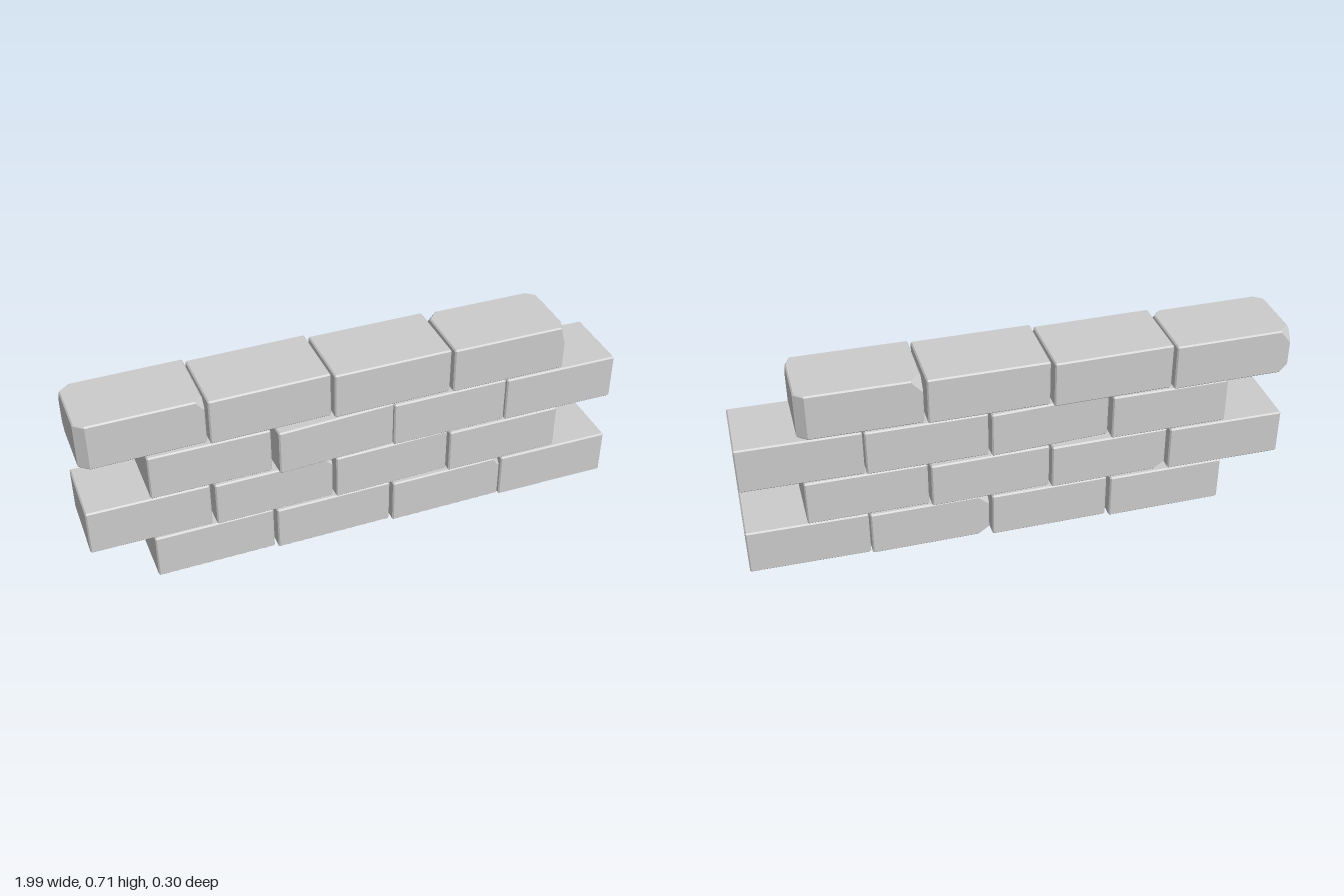
import * as THREE from 'three';
import { ConvexGeometry } from 'three/addons/geometries/ConvexGeometry.js';

const W = 0.435, H = 0.1745, D = 0.265, PITCH = 0.1775, BEVEL = 0.005;

// Bevelled block. Each chip is [sx, sy, sz, cx, cy, cz]: the corner signs and
// the cut along each axis. sy = 0 cuts the whole upright edge.
function brickGeometry(chips = []) {
  const points = [];
  for (const sx of [-1, 1]) for (const sy of [-1, 1]) for (const sz of [-1, 1]) {
    const add = (x, y, z) => points.push(
      new THREE.Vector3(sx * (W / 2 - x), sy * (H / 2 - y), sz * (D / 2 - z)));
    const chip = chips.find(c => c[0] === sx && c[2] === sz && (c[1] === sy || c[1] === 0));
    const b = BEVEL;
    if (!chip) {
      add(0, b, b); add(b, 0, b); add(b, b, 0);
    } else if (chip[1] === 0) {
      const [, , , cx, , cz] = chip;
      add(cx, b, 0); add(0, b, cz);
      add(cx, 0, b); add(b, 0, cz);
    } else {
      const [, , , cx, cy, cz] = chip;
      add(cx, b, 0); add(cx, 0, b);
      add(b, cy, 0); add(0, cy, b);
      add(0, b, cz); add(b, 0, cz);
    }
  }
  return new ConvexGeometry(points);
}

// Courses from the bottom up; a brick is [x, z, yaw, chips]
const courses = [
  [
    [-0.553, -0.006, 0.03],
    [-0.107, -0.007, 0.03],
    [0.337, -0.007, 0.03, [[1, 1, 1, 0.03, 0.035, 0.04], [-1, 1, -1, 0.04, 0.035, 0.04], [-1, -1, -1, 0.04, 0.03, 0.04]]],
    [0.775, -0.008, 0.015],
  ],
  [
    [-0.776, -0.004, 0.02],
    [-0.328, -0.006, 0.035, [[1, 1, 1, 0.03, 0.03, 0.03], [-1, -1, -1, 0.04, 0.03, 0.04]]],
    [0.115, -0.009, 0.045],
    [0.556, -0.007, 0.025],
  ],
  [
    [-0.55, -0.006, 0.025],
    [-0.102, 0.002, 0.075],
    [0.336, -0.007, 0.025],
    [0.775, -0.009, 0.012],
  ],
  [
    [-0.772, -0.009, 0.035, [[-1, 1, -1, 0.04, 0.05, 0.035], [-1, -1, -1, 0.03, 0.03, 0.03],
      [-1, 0, 1, 0.035, 0, 0.03], [1, 1, 1, 0.03, 0.035, 0.03]]],
    [-0.33, -0.01, 0.04],
    [0.114, -0.007, 0.028],
    [0.559, -0.008, 0.02, [[1, 1, 1, 0.02, 0.07, 0.045], [1, 0, -1, 0.035, 0, 0.03],
      [-1, 1, -1, 0.04, 0.045, 0.04]]],
  ],
];

export function createModel() {
  const wall = new THREE.Group();
  wall.name = 'brickWall';
  const material = new THREE.MeshStandardMaterial({ color: 0xcccccc, flatShading: true });

  courses.forEach((bricks, row) => {
    const course = new THREE.Group();
    course.name = `course${row + 1}`;
    course.position.y = H / 2 + row * PITCH;
    bricks.forEach(([x, z, yaw, chips], i) => {
      const brick = new THREE.Mesh(brickGeometry(chips), material);
      brick.name = `brick${i + 1}`;
      brick.position.set(x, 0, z);
      brick.rotation.y = yaw;
      course.add(brick);
    });
    wall.add(course);
  });
  return wall;
}
